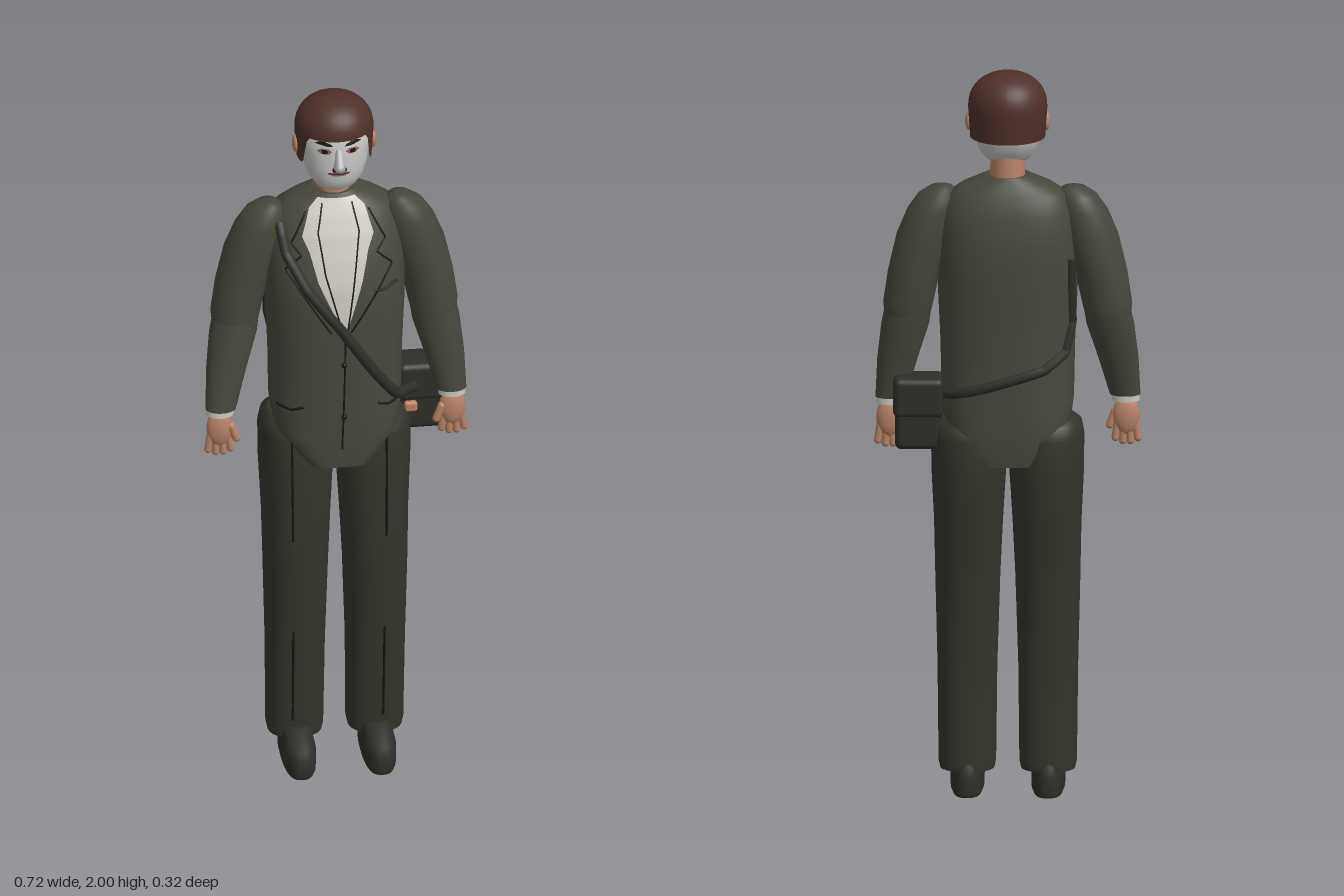
import * as THREE from 'three';
import { RoundedBoxGeometry } from 'three/addons/geometries/RoundedBoxGeometry.js';

const mat = (name, color, side = THREE.FrontSide) => {
  const m = new THREE.MeshStandardMaterial({ color, side });
  m.name = name;
  return m;
};

// Cross-sections, bottom to top: [y, centre x, half width, front z, back z, squareness]
const TORSO = [
  [0.93, 0, 0.09, 0.112, -0.142, 4], [0.97, 0, 0.125, 0.115, -0.147, 4], [1.03, 0, 0.168, 0.117, -0.15, 3.4],
  [1.1, 0, 0.177, 0.118, -0.15, 2.6], [1.25, 0, 0.18, 0.12, -0.15, 2.4], [1.4, 0, 0.187, 0.121, -0.154, 2.4],
  [1.48, 0, 0.188, 0.114, -0.155, 2.4], [1.55, 0, 0.186, 0.095, -0.153, 2.4], [1.62, 0, 0.178, 0.07, -0.143, 2.4],
  [1.67, 0, 0.157, 0.047, -0.125, 2.3], [1.695, 0, 0.12, 0.033, -0.11, 2.2], [1.72, 0, 0.06, 0.018, -0.095, 2],
];
const HEAD = [
  [1.748, 0, 0.035, 0.045, -0.05, 2], [1.76, 0, 0.06, 0.06, -0.075, 2.2], [1.785, 0, 0.077, 0.07, -0.1, 2.2],
  [1.82, 0, 0.088, 0.074, -0.118, 2.2], [1.86, 0, 0.094, 0.073, -0.125, 2.1], [1.9, 0, 0.099, 0.071, -0.13, 2],
  [1.96, 0, 0.08, 0.05, -0.11, 2], [1.985, 0, 0.03, 0.0, -0.06, 2],
];
const NOSE = [
  [1.824, 0, 0.008, 0.08, 0.05, 2], [1.838, 0, 0.016, 0.117, 0.05, 2], [1.85, 0, 0.012, 0.107, 0.05, 2],
  [1.885, 0, 0.008, 0.079, 0.05, 2],
];
const NECK = [[1.7, 0, 0.047, 0.012, -0.092, 2], [1.79, 0, 0.046, 0.012, -0.09, 2]];
const LEG = [
  [0.07, 0.108, 0.073, 0.045, -0.092, 2.4], [0.09, 0.108, 0.077, 0.049, -0.095, 2.4], [0.35, 0.108, 0.08, 0.068, -0.092, 2.4],
  [0.6, 0.107, 0.087, 0.089, -0.107, 2.3], [0.75, 0.105, 0.092, 0.091, -0.127, 2.3], [0.9, 0.104, 0.1, 0.088, -0.143, 2.2],
  [1.0, 0.105, 0.1, 0.08, -0.144, 2.2], [1.035, 0.108, 0.09, 0.065, -0.13, 2.2], [1.05, 0.11, 0.07, 0.04, -0.1, 2.2],
];
const SHOE = [
  [0, 0.108, 0.04, 0.154, -0.1, 2.8], [0.012, 0.108, 0.045, 0.16, -0.105, 2.8], [0.055, 0.108, 0.046, 0.16, -0.105, 2.8],
  [0.078, 0.108, 0.041, 0.145, -0.1, 2.6], [0.105, 0.108, 0.038, 0.06, -0.09, 2.2],
];
const UPPER_ARM = [
  [1.33, 0.268, 0.062, 0.03, -0.083, 2], [1.36, 0.266, 0.067, 0.033, -0.09, 2], [1.45, 0.25, 0.07, 0.035, -0.098, 2],
  [1.55, 0.222, 0.075, 0.038, -0.1, 2], [1.62, 0.2, 0.068, 0.036, -0.095, 2], [1.66, 0.186, 0.054, 0.026, -0.084, 2],
  [1.68, 0.178, 0.033, 0.008, -0.066, 2], [1.686, 0.175, 0.012, -0.015, -0.044, 2],
];
const FOREARM = [
  [1.09, 0.313, 0.041, 0.025, -0.037, 2], [1.2, 0.295, 0.054, 0.025, -0.056, 2], [1.3, 0.274, 0.064, 0.029, -0.079, 2],
  [1.36, 0.264, 0.062, 0.029, -0.082, 2],
];
const CUFF = [[1.073, 0.315, 0.037, 0.022, -0.034, 2], [1.1, 0.313, 0.038, 0.022, -0.034, 2]];

// Closed, capped skin over stacked superellipse sections
function loft(secs, s = 1, seg = 44) {
  const pos = [], idx = [];
  const ring = ([y, cx, rx, zf, zb, n]) => {
    const start = pos.length / 3;
    for (let j = 0; j < seg; j++) {
      const t = (j / seg) * Math.PI * 2, c = Math.cos(t), k = Math.sin(t);
      pos.push(cx * s + rx * Math.sign(c) * Math.abs(c) ** (2 / n), y,
        (zf + zb) / 2 + ((zf - zb) / 2) * Math.sign(k) * Math.abs(k) ** (2 / n));
    }
    return start;
  };
  const rings = secs.map(ring);
  for (let i = 0; i + 1 < rings.length; i++) for (let j = 0; j < seg; j++) {
    const k = (j + 1) % seg, a = rings[i] + j, b = rings[i] + k, c = rings[i + 1] + j, d = rings[i + 1] + k;
    idx.push(a, c, b, b, c, d);
  }
  for (const [sec, top] of [[secs[0], false], [secs[secs.length - 1], true]]) {
    const r = ring(sec), m = pos.length / 3;
    pos.push(sec[1] * s, sec[0], (sec[3] + sec[4]) / 2);
    for (let j = 0; j < seg; j++) {
      const k = (j + 1) % seg;
      idx.push(m, r + (top ? k : j), r + (top ? j : k));
    }
  }
  return build(pos, idx);
}

function build(pos, idx) {
  const g = new THREE.BufferGeometry();
  g.setAttribute('position', new THREE.Float32BufferAttribute(pos, 3));
  g.setIndex(idx);
  g.computeVertexNormals();
  return g;
}

// Depth of a lofted surface at (x, y); dir 1 = front, -1 = back
function depth(secs, x, y, dir = 1) {
  let i = 0;
  while (i < secs.length - 2 && y > secs[i + 1][0]) i++;
  const t = THREE.MathUtils.clamp((y - secs[i][0]) / (secs[i + 1][0] - secs[i][0]), 0, 1);
  const [, cx, rx, zf, zb, n] = secs[i].map((v, k) => v + (secs[i + 1][k] - v) * t);
  const u = Math.min(Math.abs(x - cx) / rx, 1);
  return (zf + zb) / 2 + dir * ((zf - zb) / 2) * (1 - u ** n) ** (1 / n);
}

// Thin patch laid on a surface; rows run downwards as [y, left x, right x]
function patch(secs, rows, off = 0.004, cols = 12, steps = 6) {
  const pos = [], idx = [], w = cols + 1;
  const total = (rows.length - 1) * steps;
  for (let r = 0; r <= total; r++) {
    const i = Math.min(Math.floor(r / steps), rows.length - 2), t = r / steps - i;
    const [y, x0, x1] = rows[i].map((v, k) => v + (rows[i + 1][k] - v) * t);
    for (let c = 0; c <= cols; c++) {
      const x = x0 + ((x1 - x0) * c) / cols, a = r * w + c;
      pos.push(x, y, depth(secs, x, y) + off);
      if (r < total && c < cols) idx.push(a, a + w, a + 1, a + 1, a + w, a + w + 1);
    }
  }
  return build(pos, idx);
}

// Points of a polyline dropped onto a surface
function drape(secs, pts, dir = 1, off = 0, steps = 6) {
  const out = [];
  pts.forEach(([x, y], i) => {
    const [px, py] = pts[i + 1] || pts[i];
    for (let k = 0; k < (pts[i + 1] ? steps : 1); k++) {
      const u = x + ((px - x) * k) / steps, v = y + ((py - y) * k) / steps;
      out.push(new THREE.Vector3(u, v, depth(secs, u, v, dir) + off * dir));
    }
  });
  return out;
}
const cord = (points, r) => new THREE.TubeGeometry(new THREE.CatmullRomCurve3(points), points.length * 3, r, 8);

// Hair shell: full crown, open over the face
function hairShell() {
  const pos = [], idx = [], seg = 64, rows = 16, w = seg + 1;
  for (let i = 0; i <= rows; i++) for (let j = 0; j <= seg; j++) {
    const th = (j / seg) * Math.PI * 2 - Math.PI;
    const low = 1.912 - 0.09 * THREE.MathUtils.smoothstep(Math.abs(th), 0.8, 1.15);
    const y = low + (2 - low) * Math.sin((i / rows) * Math.PI / 2);
    const r = y > 1.9 ? 0.106 * Math.sqrt(Math.max(0, 1 - ((y - 1.9) / 0.1) ** 2.5)) : 0.106 - (1.9 - y) * 0.07;
    pos.push(r * Math.sin(th), y, -0.028 + r * Math.cos(th));
    const a = i * w + j;
    if (i < rows && j < seg) idx.push(a, a + 1, a + w, a + 1, a + w + 1, a + w);
  }
  return build(pos, idx);
}

export function createModel() {
  const jacket = mat('jacket cloth', 0x48473c), trousers = mat('trouser cloth', 0x35342b);
  const leather = mat('dark leather', 0x2f2e28), hair = mat('brown hair', 0x4f3029, THREE.DoubleSide);
  const skin = mat('skin', 0xb98368), face = mat('pale face', 0xc6c7c4), linen = mat('white linen', 0xcbc9c0, THREE.DoubleSide);
  const ink = mat('black detail', 0x171613, THREE.DoubleSide), lips = mat('lips', 0x94605a, THREE.DoubleSide);
  const model = new THREE.Group();
  const add = (name, geo, material, parent = model) => {
    const m = new THREE.Mesh(geo, material);
    m.name = name;
    parent.add(m);
    return m;
  };

  // Jacket, shirt and tailoring lines
  add('jacket', loft(TORSO, 1, 64), jacket);
  add('shirt', patch(TORSO, [[1.712, -0.05, 0.05], [1.69, -0.075, 0.075], [1.62, -0.098, 0.095],
    [1.58, -0.08, 0.078], [1.5, -0.06, 0.06], [1.35, 0.005, 0.015]]), linen);
  const line = (name, pts, secs = TORSO, r = 0.0035) => add(name, cord(drape(secs, pts, 1, 0.003), r), ink);
  for (const s of [-1, 1]) {
    line('lapelEdge', [[0.085, 1.68], [0.127, 1.6], [0.102, 1.57], [0.143, 1.53], [0.027, 1.35]].map(([x, y]) => [x * s, y]), TORSO, 0.0025);
    line('shirtSeam', [[0.04 * s, 1.7], [0.055 * s, 1.63], [0.04 * s, 1.52], [0.01 + 0.008 * s, 1.36]], TORSO, 0.0025);
    line('hipPocket', [[0.1 * s, 1.12], [0.13 * s, 1.108], [0.165 * s, 1.11]]);
  }
  line('breastPocket', [[0.09, 1.465], [0.12, 1.463], [0.155, 1.475]]);
  line('jacketOpening', [[0.012, 1.35], [0.008, 1.15], [0.003, 0.99]], TORSO, 0.0025);
  for (const y of [1.25, 1.09]) {
    add('button', new THREE.SphereGeometry(0.008, 12, 8), ink).position.set(0.008, y, depth(TORSO, 0, y) + 0.002);
  }

  // Head
  const head = new THREE.Group();
  head.name = 'head';
  model.add(head);
  add('neck', loft(NECK), skin, head);
  add('face', loft(HEAD), face, head);
  add('nose', loft(NOSE, 1, 16), face, head);
  add('hair', hairShell(), hair, head);
  add('mouth', patch(HEAD, [[1.82, -0.012, 0.012], [1.814, -0.03, 0.03], [1.806, -0.014, 0.014]], 0.003), lips, head);
  add('mouthLine', cord(drape(HEAD, [[-0.028, 1.815], [0, 1.813], [0.028, 1.815]], 1, 0.003), 0.002), ink, head);
  for (const s of [-1, 1]) {
    const mirror = (rows) => rows.map(([y, a, b]) => (s > 0 ? [y, a, b] : [y, -b, -a]));
    add('eyebrow', patch(HEAD, mirror([[1.908, 0.035, 0.05], [1.902, 0.02, 0.064], [1.896, 0.016, 0.03]])), ink, head);
    add('eyelid', patch(HEAD, mirror([[1.888, 0.028, 0.046], [1.88, 0.018, 0.058], [1.872, 0.028, 0.046]]), 0.003), lips, head);
    add('eye', patch(HEAD, mirror([[1.886, 0.032, 0.044], [1.88, 0.029, 0.047], [1.874, 0.033, 0.043]]), 0.005), ink, head);
    add('nostril', new THREE.SphereGeometry(0.006, 10, 8), ink, head).position.set(0.014 * s, 1.833, 0.088);
    const ear = add('ear', new THREE.SphereGeometry(1, 16, 12), skin, head);
    ear.scale.set(0.01, 0.026, 0.017);
    ear.position.set(0.104 * s, 1.862, -0.022);
  }

  // Limbs, mirrored; the right forearm swings slightly forward
  for (const s of [-1, 1]) {
    const side = s > 0 ? 'left' : 'right', swing = s > 0 ? 0 : 0.035;
    const swung = (secs) => secs.map(([y, cx, rx, zf, zb, n]) => {
      const d = swing * THREE.MathUtils.clamp((1.36 - y) / 0.27, 0, 1);
      return [y, cx, rx, zf + d, zb + d, n];
    });
    add(side + 'Trouser', loft(LEG, s), trousers);
    add(side + 'Shoe', loft(SHOE, s), leather);
    add(side + 'UpperSleeve', loft(UPPER_ARM, s), jacket);
    add(side + 'LowerSleeve', loft(swung(FOREARM), s), jacket);
    add(side + 'Cuff', loft(swung(CUFF), s), linen);
    const mirrored = LEG.map(([y, cx, ...rest]) => [y, cx * s, ...rest]);
    line('trouserCrease', [[0.128 * s, 1.0], [0.126 * s, 0.7]], mirrored, 0.003);
    line('trouserCrease', [[0.123 * s, 0.41], [0.122 * s, 0.13]], mirrored, 0.003);

    const hand = new THREE.Group();
    hand.name = side + 'Hand';
    hand.position.set(0.316 * s, 0, -0.004 + swing);
    model.add(hand);
    const palm = add('palm', new THREE.SphereGeometry(1, 20, 14), skin, hand);
    palm.scale.set(0.036, 0.056, 0.021);
    palm.position.y = 1.032;
    for (let i = 0; i < 4; i++) {
      const f = add('finger', new THREE.CapsuleGeometry(0.0105, 0.045, 4, 10), skin, hand);
      f.position.set((0.028 - i * 0.018) * s, 0.982 + (i === 0 || i === 3 ? 0.008 : 0), 0);
      f.rotation.z = (0.15 - i * 0.1) * s;
    }
    const thumb = add('thumb', new THREE.CapsuleGeometry(0.011, 0.04, 4, 10), skin, hand);
    thumb.position.set(-0.037 * s, 1.02, 0.008);
    thumb.rotation.z = -0.35 * s;
  }

  // Shoulder bag on the left hip
  const bag = new THREE.Group();
  bag.name = 'shoulderBag';
  model.add(bag);
  add('bagBody', new RoundedBoxGeometry(0.125, 0.19, 0.095, 4, 0.018), leather, bag).position.set(0.238, 1.06, -0.053);
  add('bagFlap', new RoundedBoxGeometry(0.135, 0.11, 0.105, 4, 0.018), leather, bag).position.set(0.238, 1.108, -0.053);
  add('bagClasp', new RoundedBoxGeometry(0.035, 0.03, 0.02, 3, 0.008), skin, bag).position.set(0.203, 1.043, 0.003);
  const front = drape(TORSO, [[-0.152, 1.64], [-0.14, 1.57], [-0.09, 1.48], [0, 1.36], [0.09, 1.22], [0.155, 1.125]], 1, 0.002);
  front.push(new THREE.Vector3(0.21, 1.105, 0.005));
  add('strapFront', cord(front, 0.015), leather, bag);
  const back = drape(TORSO, [[0.165, 1.12], [0.1, 1.14], [0, 1.17], [-0.1, 1.2], [-0.155, 1.24], [-0.172, 1.32], [-0.17, 1.5]], -1, 0.001);
  back.unshift(new THREE.Vector3(0.205, 1.11, -0.08));
  add('strapBack', cord(back, 0.014), leather, bag);
  return model;
}
